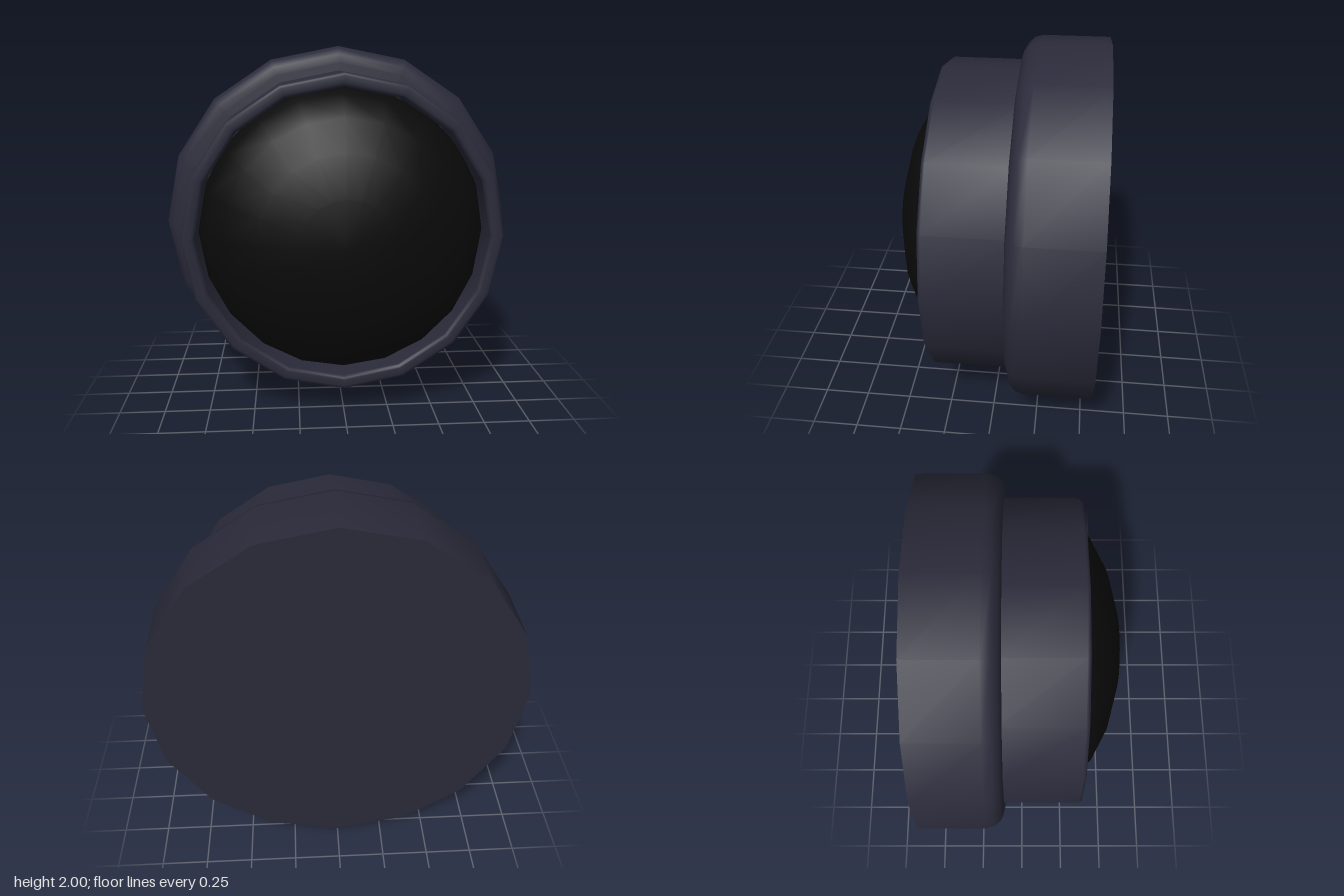
import * as THREE from 'three';
import { toCreasedNormals } from 'three/addons/utils/BufferGeometryUtils.js';

const shell = new THREE.MeshStandardMaterial({ color: 0x2a2a3a });
const glass = new THREE.MeshStandardMaterial({ color: 0x0a0a0a });

// Quarter-round corner from angle a0 to a1 (degrees), as [radius, z] pairs
function corner(cr, cz, r, a0, a1, steps = 3) {
  return Array.from({ length: steps + 1 }, (_, i) => {
    const a = THREE.MathUtils.degToRad(a0 + ((a1 - a0) * i) / steps);
    return [cr + r * Math.cos(a), cz + r * Math.sin(a)];
  });
}

// 16-sided turned part around the z axis, profile listed from back to front
function turned(name, profile) {
  const points = profile.map(([r, z]) => new THREE.Vector2(r, z));
  const geometry = new THREE.LatheGeometry(points, 16).rotateX(Math.PI / 2);
  const mesh = new THREE.Mesh(toCreasedNormals(geometry, 0.75), shell);
  mesh.name = name;
  return mesh;
}

export function createModel() {
  const model = new THREE.Group();
  model.name = 'lensUnit';
  const body = new THREE.Group();
  body.name = 'body';
  body.position.y = 1;
  model.add(body);

  // Wide rear housing with a rounded front edge and a flat back
  body.add(turned('rearHousing', [
    [0, -0.55], [1, -0.55],
    ...corner(0.91, -0.185, 0.09, 0, 90),
    [0, -0.095],
  ]));

  // Narrower front barrel with a rounded rim and a recess for the lens
  body.add(turned('frontBarrel', [
    [0.865, -0.12],
    ...corner(0.845, 0.302, 0.02, 0, 90),
    ...corner(0.81, 0.302, 0.02, 90, 180),
    [0.79, 0.05], [0, 0.05],
  ]));

  // Flattened dome lens, its rim hidden inside the barrel
  const dome = new THREE.SphereGeometry(0.79, 20, 5, 0, Math.PI * 2, 0, Math.PI / 2);
  dome.rotateX(Math.PI / 2).scale(1, 1, 0.43 / 0.79);
  const lens = new THREE.Mesh(dome, glass);
  lens.name = 'domeLens';
  lens.position.z = 0.12;
  body.add(lens);

  return model;
}
